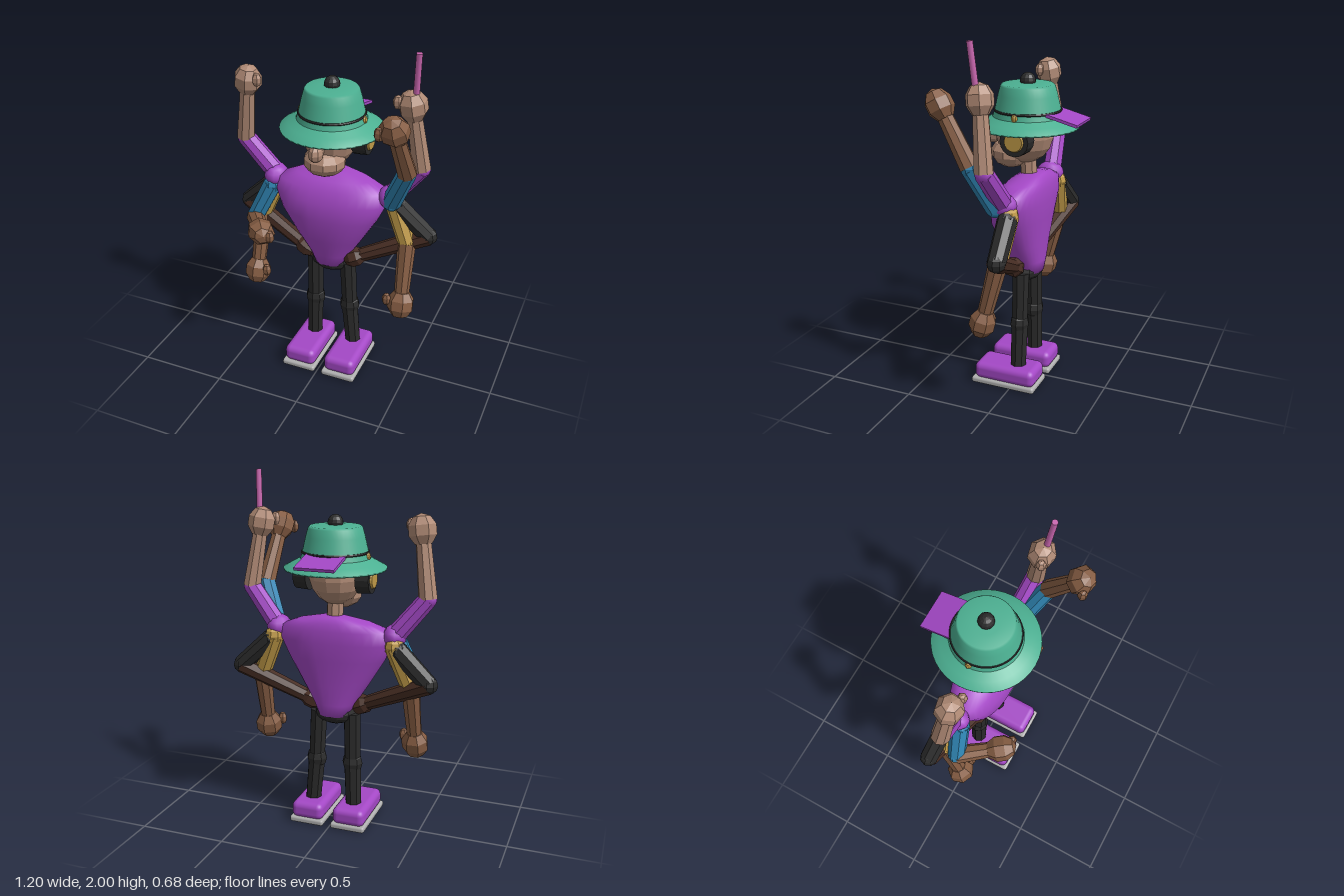
import * as THREE from 'three';
import { RoundedBoxGeometry } from 'three/addons/geometries/RoundedBoxGeometry.js';

const mat = (name, color, opts = {}) => {
  const m = new THREE.MeshStandardMaterial({ color, ...opts });
  m.name = name;
  return m;
};

export function createModel() {
  const root = new THREE.Group();
  root.name = 'figure';
  const flat = { flatShading: true };
  const purple = mat('purple cloth', 0xa448c6, { side: THREE.DoubleSide });
  const teal = mat('teal felt', 0x4cb092, { side: THREE.DoubleSide });
  const black = mat('black', 0x2a2a2a, flat);
  const gold = mat('gold', 0xc09a48, flat);
  const blue = mat('blue sleeve', 0x3085b3, flat);
  const skin = mat('light skin', 0xb08a75, flat);
  const brown = mat('brown skin', 0x875e44, flat);
  const dark = mat('dark brown skin', 0x482e24, flat);
  const grey = mat('grey sole', 0xb0b0b0);
  const pink = mat('pink wand', 0xc865ae);

  const V = (p) => new THREE.Vector3(...p);
  const UP = new THREE.Vector3(0, 1, 0);
  const add = (name, geo, material, pos = [0, 0, 0], parent = root) => {
    const m = new THREE.Mesh(geo, material);
    m.name = name;
    m.position.set(...pos);
    parent.add(m);
    return m;
  };
  const ball = (name, material, pos, r, seg = [8, 6], parent = root) => {
    const m = add(name, new THREE.SphereGeometry(1, ...seg), material, pos, parent);
    m.scale.set(...r);
    return m;
  };
  // tapered limb between two points
  const limb = (name, material, a, b, ra, rb, sides = 8, parent = root) => {
    const d = V(b).sub(V(a));
    let g = new THREE.CylinderGeometry(rb, ra, d.length(), sides);
    if (sides <= 8) g = g.toNonIndexed(), g.computeVertexNormals();
    const m = add(name, g, material, V(a).add(V(b)).multiplyScalar(0.5).toArray(), parent);
    m.quaternion.setFromUnitVectors(UP, d.normalize());
    return m;
  };

  // torso: rows of [y, half width, front z, back z]
  const rows = [
    [0.67, 0.09, 0.07, -0.11], [0.74, 0.12, 0.085, -0.12], [0.85, 0.19, 0.115, -0.125],
    [1.0, 0.28, 0.145, -0.14], [1.1, 0.325, 0.13, -0.15], [1.17, 0.31, 0.1, -0.145],
    [1.21, 0.21, 0.06, -0.135], [1.24, 0.08, 0.0, -0.115],
  ];
  const N = 32, pos = [], idx = [];
  for (const [y, rx, zf, zb] of rows) {
    for (let j = 0; j < N; j++) {
      const a = (j / N) * Math.PI * 2, c = Math.cos(a), s = Math.sin(a);
      const pw = (v) => Math.sign(v) * Math.abs(v) ** 0.85;
      pos.push(rx * pw(c), y, (zf + zb) / 2 + ((zf - zb) / 2) * pw(s));
    }
  }
  for (let i = 0; i < rows.length - 1; i++) {
    for (let j = 0; j < N; j++) {
      const a = i * N + j, b = i * N + ((j + 1) % N);
      idx.push(a, a + N, b, b, a + N, b + N);
    }
  }
  const last = (rows.length - 1) * N, top = pos.length / 3;
  pos.push(0, 1.245, -0.055, 0, 0.67, -0.02);
  for (let j = 0; j < N; j++) {
    const k = (j + 1) % N;
    idx.push(top, last + k, last + j, top + 1, j, k);
  }
  const torso = new THREE.BufferGeometry();
  torso.setAttribute('position', new THREE.Float32BufferAttribute(pos, 3));
  torso.setIndex(idx);
  torso.computeVertexNormals();
  add('torso', torso, purple);
  ball('pelvis', black, [0, 0.68, -0.02], [0.12, 0.07, 0.09], [10, 8]);

  // legs and shoes
  for (const [side, hipX, kneeX, footX] of [['right', -0.1, -0.103, -0.11], ['left', 0.1, 0.115, 0.14]]) {
    limb(side + 'Thigh', black, [hipX, 0.68, -0.02], [kneeX, 0.38, -0.02], 0.05, 0.047);
    ball(side + 'Knee', black, [kneeX, 0.38, -0.02], [0.06, 0.065, 0.055]);
    limb(side + 'Shin', black, [kneeX, 0.38, -0.02], [footX, 0.1, -0.02], 0.05, 0.046);
    add(side + 'Shoe', new RoundedBoxGeometry(0.19, 0.1, 0.365, 3, 0.035), purple, [footX - 0.003, 0.08, 0.038]);
    add(side + 'Sole', new RoundedBoxGeometry(0.205, 0.036, 0.385, 2, 0.014), grey, [footX - 0.003, 0.022, 0.042]);
  }

  // arms: shoulder, elbow, hand, thumb points
  const arm = (name, sleeve, flesh, [s, e, h, t], handR = [0.08, 0.088, 0.075]) => {
    const g = new THREE.Group();
    g.name = name;
    root.add(g);
    ball('shoulder', sleeve, s, [0.055, 0.055, 0.055], [8, 6], g);
    limb('upperArm', sleeve, s, e, 0.055, 0.05, 8, g);
    ball('elbow', sleeve, e, [0.05, 0.05, 0.05], [8, 6], g);
    limb('forearm', flesh, e, h, 0.052, 0.04, 8, g);
    const hand = ball('hand', flesh, h, handR, [7, 5], g);
    hand.quaternion.setFromUnitVectors(UP, V(h).sub(V(e)).normalize());
    if (t) ball('thumb', flesh, t, [0.027, 0.038, 0.027], [6, 5], g);
  };
  const flip = (pts) => pts.map(([x, y, z]) => [-x, y, z]);
  const both = (name, sleeve, flesh, pts, handR) => {
    arm('left' + name, sleeve, flesh, pts, handR);
    arm('right' + name, sleeve, flesh, flip(pts), handR);
  };
  both('RaisedArm', purple, skin,
    [[0.34, 1.15, -0.03], [0.51, 1.36, 0.0], [0.46, 1.715, 0.04], [0.39, 1.735, 0.07]]);
  both('HangingArm', gold, brown,
    [[0.35, 1.1, -0.06], [0.44, 0.87, -0.04], [0.45, 0.52, 0.05], [0.375, 0.55, 0.08]]);
  both('AkimboArm', black, dark,
    [[0.37, 1.08, -0.06], [0.55, 0.915, -0.08], [0.15, 0.73, 0.0]], [0.06, 0.07, 0.06]);
  arm('leftForwardArm', blue, brown,
    [[0.36, 1.14, 0.01], [0.465, 1.37, 0.1], [0.445, 1.67, 0.27], [0.38, 1.66, 0.31]]);
  arm('rightForwardArm', blue, brown,
    [[-0.35, 1.1, 0.01], [-0.455, 0.88, 0.04], [-0.315, 0.92, 0.24], [-0.245, 0.92, 0.275]]);
  for (const s of [-1, 1]) ball('shoulderCap', purple, [s * 0.34, 1.15, -0.02], [0.065, 0.065, 0.08], [10, 8]);
  limb('wand', pink, [0.475, 1.74, 0.05], [0.488, 2.0, 0.075], 0.017, 0.016, 12);

  // head
  limb('neck', skin, [0, 1.2, -0.03], [0, 1.36, -0.02], 0.047, 0.047);
  ball('head', skin, [0, 1.475, -0.005], [0.15, 0.18, 0.165], [12, 9]);
  ball('muzzle', skin, [0, 1.345, 0.075], [0.118, 0.083, 0.115], [10, 7]);
  ball('nose', skin, [0, 1.435, 0.19], [0.04, 0.05, 0.055]);

  // headphones
  for (const s of [-1, 1]) {
    limb('earCup', black, [s * 0.14, 1.455, -0.03], [s * 0.215, 1.455, -0.03], 0.085, 0.08, 16);
    limb('earDisc', gold, [s * 0.215, 1.455, -0.03], [s * 0.226, 1.455, -0.03], 0.055, 0.05, 16);
  }

  // hat
  const hat = new THREE.Group();
  hat.name = 'hat';
  hat.position.set(0, 0, -0.02);
  root.add(hat);
  const lathe = (pts) => new THREE.LatheGeometry(pts.map((p) => new THREE.Vector2(...p)), 40);
  add('brim', lathe([[0.15, 1.5], [0.278, 1.495], [0.28, 1.505], [0.235, 1.53], [0.19, 1.555]]), teal, [0, 0, 0], hat);
  add('crown', lathe([[0.19, 1.55], [0.178, 1.59], [0.16, 1.67], [0.147, 1.715], [0.138, 1.725], [0.07, 1.73], [0, 1.732]]), teal, [0, 0, 0], hat);
  add('hatBand', new THREE.TorusGeometry(0.178, 0.007, 6, 40), black, [0, 1.588, 0], hat).rotation.x = Math.PI / 2;
  ball('hatButton', black, [0, 1.742, 0], [0.043, 0.043, 0.043], [12, 8], hat);
  for (const s of [-1, 1]) ball('eyelet', gold, [s * 0.183, 1.57, 0], [0.016, 0.022, 0.018], [8, 6], hat);
  const flap = add('neckFlap', new THREE.BoxGeometry(0.22, 0.016, 0.19), purple, [0, 1.563, -0.225], hat);
  flap.rotation.x = -0.25;
  return root;
}
